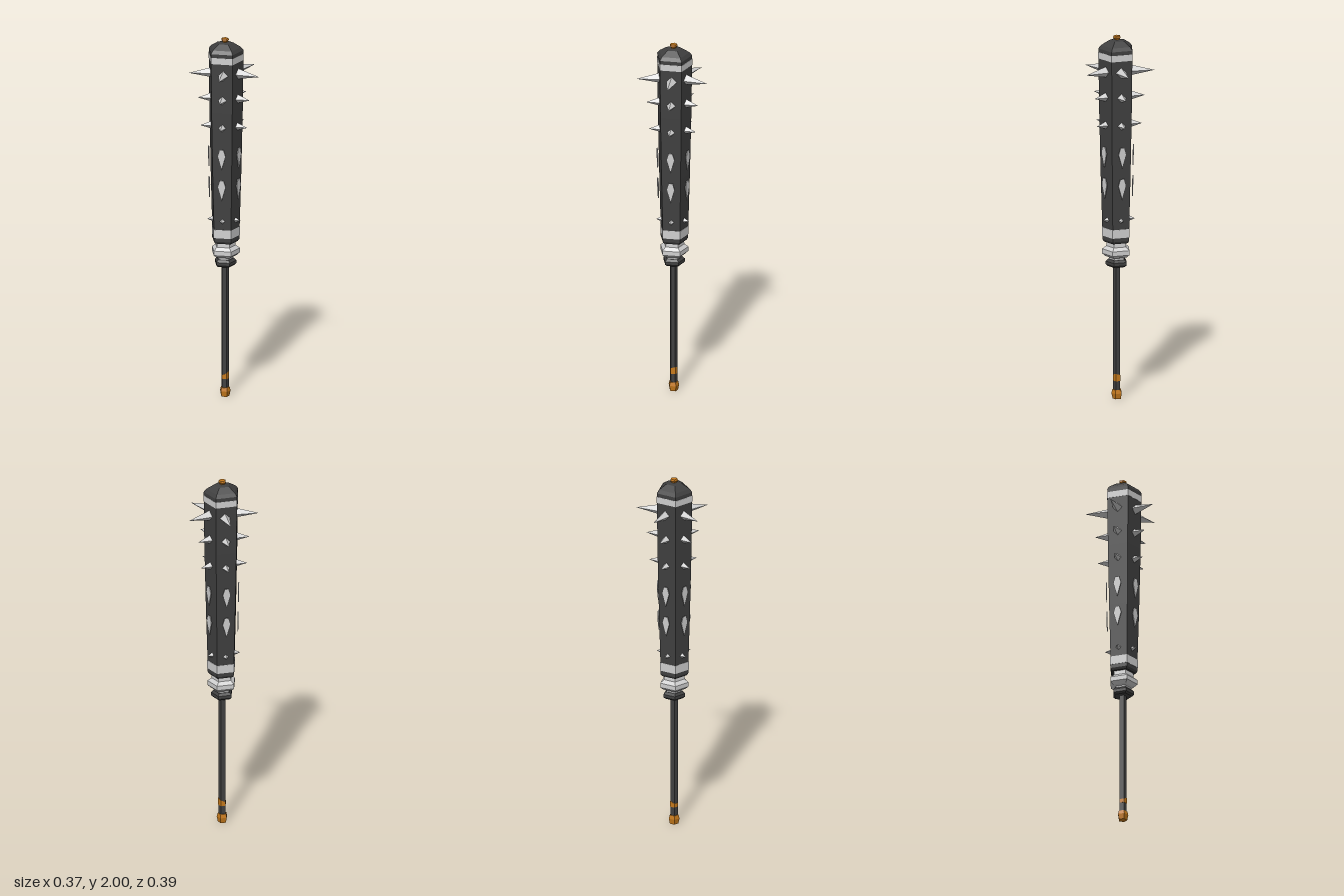
import * as THREE from 'three';

const SIDES = 5;
const AXIS_X = 0.01; // the club's axis sits slightly off the centre of the spikes

const mat = (name, color) => {
  const m = new THREE.MeshStandardMaterial({ color });
  m.name = name;
  return m;
};

// Split all faces so every facet is shaded flat
function faceted(geometry) {
  const g = geometry.index ? geometry.toNonIndexed() : geometry;
  g.computeVertexNormals();
  return g;
}

export function createModel() {
  const model = new THREE.Group();
  model.name = 'spikedClub';
  const dark = mat('dark iron', 0x404040);
  const steel = mat('pale steel', 0xd0d0d0);
  const bronze = mat('bronze', 0xc67a1c);

  const add = (name, geometry, material, parent = model) => {
    const mesh = new THREE.Mesh(faceted(geometry), material);
    mesh.name = name;
    parent.add(mesh);
    return mesh;
  };

  // Five-sided turned part from [radius, height] pairs, corner towards +x
  const turned = (name, profile, material) => {
    const points = profile.map(([r, y]) => new THREE.Vector2(r, y));
    const mesh = add(name, new THREE.LatheGeometry(points, SIDES, Math.PI / 2), material);
    mesh.position.x = AXIS_X;
    return mesh;
  };

  // Handle
  turned('pommel', [[0, 0], [0.024, 0], [0.03, 0.03], [0.025, 0.05], [0, 0.05]], bronze);
  turned('shaft', [[0.0205, 0.045], [0.0205, 0.74]], dark);

  // Handle ring with a slanted upper edge
  const ring = new THREE.LatheGeometry(
    [[0.0205, 0.098], [0.022, 0.098], [0.022, 0.128], [0.0205, 0.128]].map(([r, y]) => new THREE.Vector2(r, y)),
    SIDES, Math.PI / 2);
  const p = ring.attributes.position;
  for (let i = 0; i < p.count; i++) {
    if (p.getY(i) > 0.11) p.setY(i, 0.128 + p.getX(i) * 0.5);
  }
  add('handleRing', ring, bronze).position.x = AXIS_X;

  // Guard collars
  turned('lowerCollar', [[0, 0.73], [0.05, 0.73], [0.061, 0.74], [0.061, 0.757], [0.048, 0.77], [0, 0.77]], dark);
  turned('upperCollar', [[0.044, 0.768], [0.044, 0.78], [0.062, 0.785], [0.08, 0.8], [0.08, 0.825],
    [0.058, 0.842], [0.056, 0.868]], steel);

  // Club head
  turned('headBase', [[0, 0.865], [0.07, 0.865], [0.079, 0.878], [0.079, 0.9]], dark);
  turned('lowerBand', [[0.077, 0.898], [0.081, 0.898], [0.081, 0.945], [0.077, 0.945]], steel);
  turned('headBody', [[0.079, 0.94], [0.088, 1.25], [0.096, 1.6], [0.0995, 1.88]], dark);
  turned('upperBand', [[0.098, 1.875], [0.101, 1.875], [0.101, 1.91], [0.098, 1.91]], steel);
  turned('headCap', [[0.0995, 1.908], [0.1, 1.93], [0.086, 1.948], [0.045, 1.974], [0.015, 1.979], [0, 1.979]], dark);
  turned('finial', [[0.014, 1.97], [0.014, 1.98], [0.022, 1.99], [0.019, 2], [0, 2]], bronze);

  // Place one part on each face of the head
  const onEachFace = (name, makeGeometry, centreX) => {
    const row = new THREE.Group();
    row.name = name;
    row.position.x = centreX;
    for (let i = 0; i < SIDES; i++) {
      const angle = ((i + 0.5) * 2 * Math.PI) / SIDES;
      add(name + 'Piece', makeGeometry().rotateY(angle), steel, row);
    }
    model.add(row);
  };

  // Spike rows: height, base radius, base distance, tip distance, centre
  const spikes = [
    [1.812, 0.031, 0.066, 0.203, 0.018],
    [1.673, 0.027, 0.068, 0.149, 0.013],
    [1.518, 0.024, 0.066, 0.135, 0.012],
    [0.993, 0.019, 0.056, 0.095, 0.01],
  ];
  for (const [y, radius, start, tip, centreX] of spikes) {
    onEachFace('spike', () => new THREE.ConeGeometry(radius, tip - start, 4)
      .rotateZ(-Math.PI / 2).translate((start + tip) / 2, y, 0), centreX);
  }

  // Kite-shaped studs standing just off the faces
  const kite = new THREE.Shape([[-0.011, 0.055], [-0.022, 0.018], [0, -0.058], [0.022, 0.018], [0.011, 0.055]]
    .map(([x, y]) => new THREE.Vector2(x, y)));
  for (const [y, distance] of [[1.345, 0.084], [1.172, 0.081]]) {
    onEachFace('stud', () => new THREE.ExtrudeGeometry(kite, { depth: 0.005, bevelEnabled: false })
      .rotateY(Math.PI / 2).rotateZ(-0.02).translate(distance, y, 0), AXIS_X);
  }

  return model;
}
